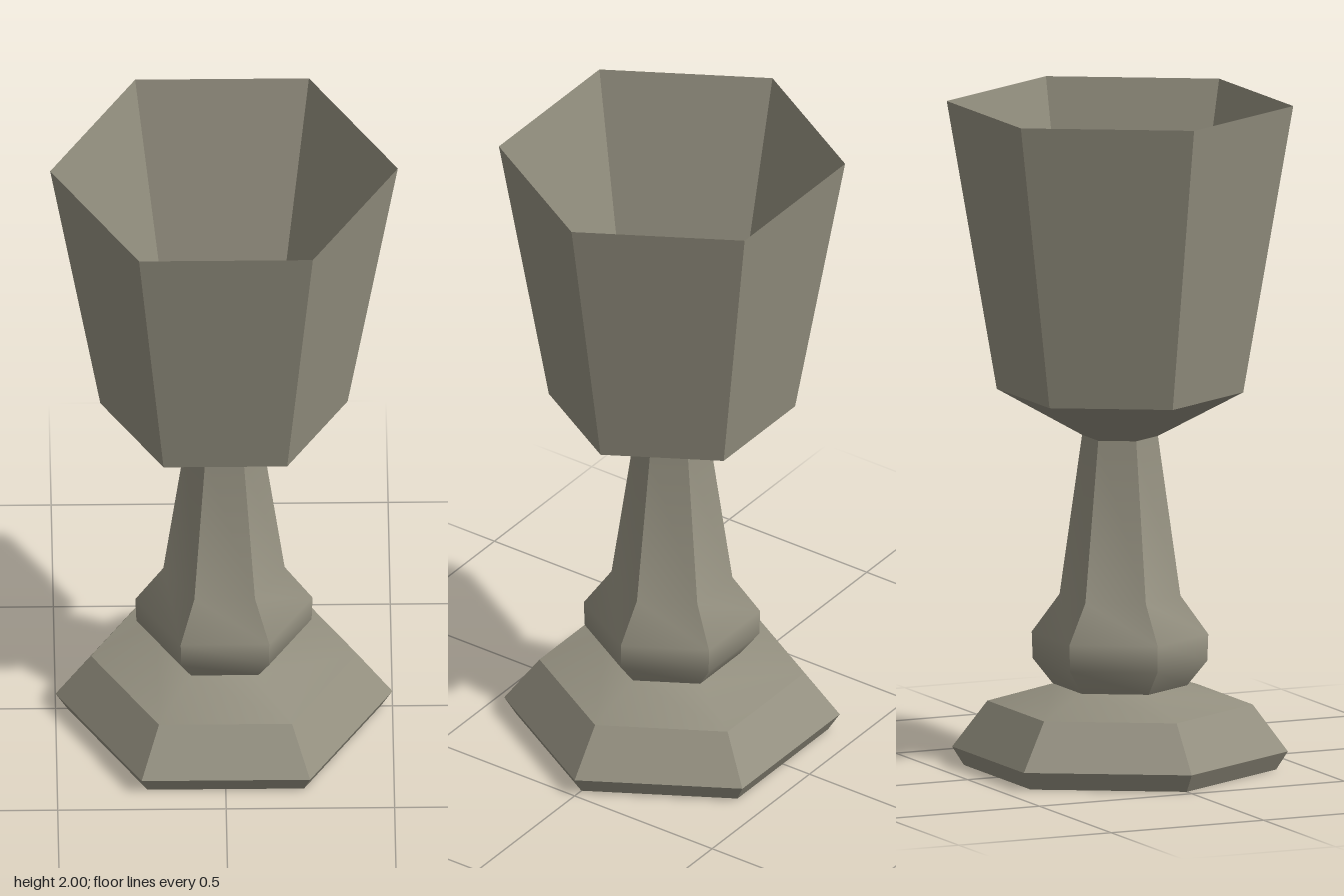
import * as THREE from 'three';
import { toCreasedNormals } from 'three/addons/utils/BufferGeometryUtils.js';

const SIDES = 6;
const CREASE = 0.646; // keeps the hexagon corners sharp, softens the bulb

export function createModel() {
  const group = new THREE.Group();
  const pewter = new THREE.MeshStandardMaterial({ color: 0x938f7f });
  pewter.name = 'pewter';

  // Six-sided turned part from [radius, height] pairs, with corners on +x and -x
  function turned(name, profile) {
    const points = profile.map(([r, y]) => new THREE.Vector2(r, y));
    const lathe = new THREE.LatheGeometry(points, SIDES, Math.PI / 6);
    const mesh = new THREE.Mesh(toCreasedNormals(lathe, CREASE), pewter);
    mesh.name = name;
    group.add(mesh);
  }

  // Foot with closed underside and sloping shoulder
  turned('foot', [[0, 0], [0.465, 0], [0.5, 0.055], [0.395, 0.195], [0.2, 0.25]]);

  // Stem with a bulb near the bottom
  turned('stem', [[0.2, 0.25], [0.26, 0.325], [0.263, 0.405], [0.18, 0.52], [0.113, 1]]);

  // Bowl: flared underside, outer wall, knife-edge rim, inner wall and floor
  turned('bowl', [[0.113, 1], [0.367, 1.135], [0.516, 2], [0.321, 1.16], [0, 1.16]]);

  return group;
}
